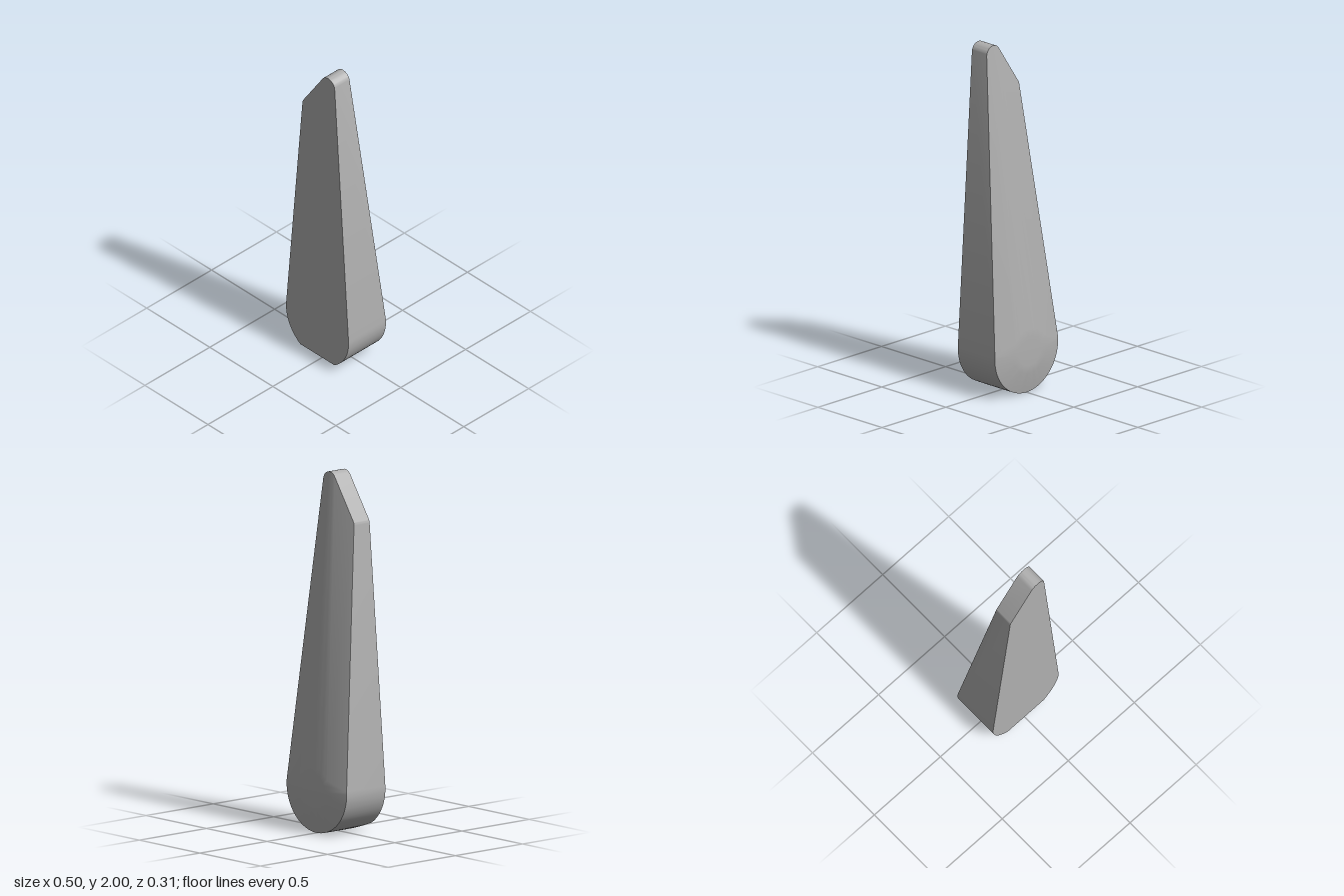
import * as THREE from 'three';
import { ConvexGeometry } from 'three/addons/geometries/ConvexGeometry.js';
import { toCreasedNormals } from 'three/addons/utils/BufferGeometryUtils.js';

const FRONT = 0.157, RIM = -0.131, TIP = 0.042;
const BULB = { x: 0, y: 0.248, r: 0.248 };

// Points on a circular arc, angles in degrees
function arc({ x, y, r }, from, to, steps) {
  return Array.from({ length: steps + 1 }, (_, i) => {
    const a = THREE.MathUtils.degToRad(from + (to - from) * i / steps);
    return new THREE.Vector2(x + r * Math.cos(a), y + r * Math.sin(a));
  });
}

export function createModel() {
  const group = new THREE.Group();
  const grey = new THREE.MeshStandardMaterial({ color: 0xb0b0b0 });
  grey.name = 'plain grey';

  const points = [];
  const add = (p, z) => points.push(new THREE.Vector3(p.x, p.y, z));

  // Rounded foot: its lowest front edge is bevelled backwards
  const bevelY = 0.04;
  const bevelX = Math.sqrt(BULB.r ** 2 - (BULB.y - bevelY) ** 2);
  const foot = arc(BULB, 176, 364, 48);
  foot.push(new THREE.Vector2(-bevelX, bevelY), new THREE.Vector2(bevelX, bevelY));
  for (const p of foot) {
    add(p, FRONT - Math.max(0, bevelY - p.y) / bevelY * 0.117);
    add(p, RIM);
  }

  // Slanted tip: rounded point on one side, softened shoulder on the other
  const tip = [
    ...arc({ x: 0.086, y: 1.948, r: 0.052 }, 4, 146, 16),
    ...arc({ x: -0.072, y: 1.722, r: 0.046 }, 146, 176, 4),
  ];
  for (const p of tip) {
    add(p, FRONT);
    add(p, TIP);
  }

  // Shallow dome on the back of the foot
  for (const [r, z] of [[0.13, -0.155], [0.09, -0.158]]) {
    for (const p of arc({ ...BULB, r }, 0, 352.5, 47)) add(p, z);
  }

  // Tapered blade stretched over these outlines, with crisp rims
  const blade = new THREE.Mesh(toCreasedNormals(new ConvexGeometry(points), 0.6), grey);
  blade.name = 'taperedBlade';
  group.add(blade);
  return group;
}
